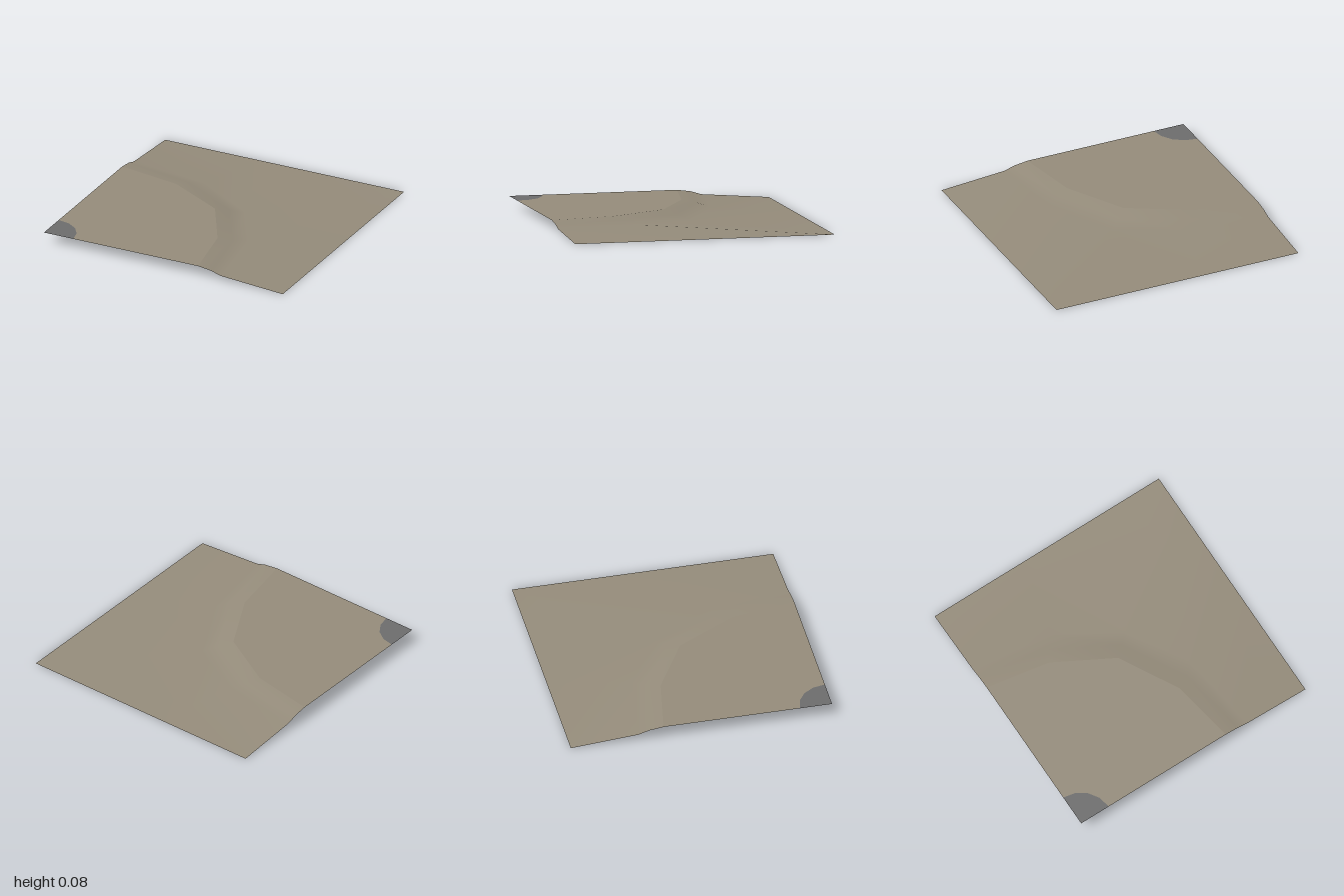
import * as THREE from 'three';

const ground = new THREE.MeshStandardMaterial({ color: 0x948b7a, side: THREE.DoubleSide });
ground.name = 'dry earth';
const stone = new THREE.MeshStandardMaterial({ color: 0x6c6c6c, side: THREE.DoubleSide });
stone.name = 'grey stone';

const TOP = 0.08;

// Completes a contour line from its first half by mirroring across the diagonal
function contour(half) {
  const mirrored = half.slice(0, -1).reverse().map(([x, y, z]) => [-z, y, -x]);
  return [...half, ...mirrored];
}

// Joins successive contour lines (inner to outer) into one sheet
function sheet(name, rows, material) {
  const n = rows[0].length;
  const index = [];
  for (let r = 0; r < rows.length - 1; r++) {
    for (let j = 0; j < n - 1; j++) {
      const a = r * n + j;
      const b = a + n;
      index.push(a, a + 1, b, b, a + 1, b + 1);
    }
  }
  const geometry = new THREE.BufferGeometry();
  geometry.setAttribute('position', new THREE.Float32BufferAttribute(rows.flat(2), 3));
  geometry.setIndex(index);
  geometry.computeVertexNormals();
  const mesh = new THREE.Mesh(geometry, material);
  mesh.name = name;
  return mesh;
}

export function createModel() {
  const group = new THREE.Group();
  group.name = 'terrainCorner';

  // Quarter-round stone patch in the high corner
  const radius = 0.245;
  const arc = [];
  for (let i = 0; i <= 4; i++) {
    const t = (i / 4) * Math.PI / 2;
    arc.push([-1 + radius * Math.sin(t), TOP, 1 - radius * Math.cos(t)]);
  }
  const corner = arc.map(() => [-1, TOP, 1]);
  group.add(sheet('stonePatch', [corner, arc], stone));

  // Flat plateau between the patch and the crest of the bank
  const crest = contour([[-1, TOP, -0.29], [-0.5, TOP, -0.2], [-0.05, TOP, 0.05]]);
  group.add(sheet('plateau', [arc, crest], ground));

  // Bank falling away from the crest, then the gentle slope to the outer edges
  const shoulder = contour([[-1, 0.065, -0.4], [-0.45, 0.063, -0.3], [0.03, 0.05, -0.03]]);
  const foot = contour([[-1, 0.04, -0.48], [-0.36, 0.037, -0.39], [0.12, 0.012, -0.12]]);
  const edge = contour([[-1, 0, -1], [-0.2, 0, -1], [1, 0, -1]]);
  group.add(sheet('bankAndLowland', [crest, shoulder, foot, edge], ground));

  return group;
}
